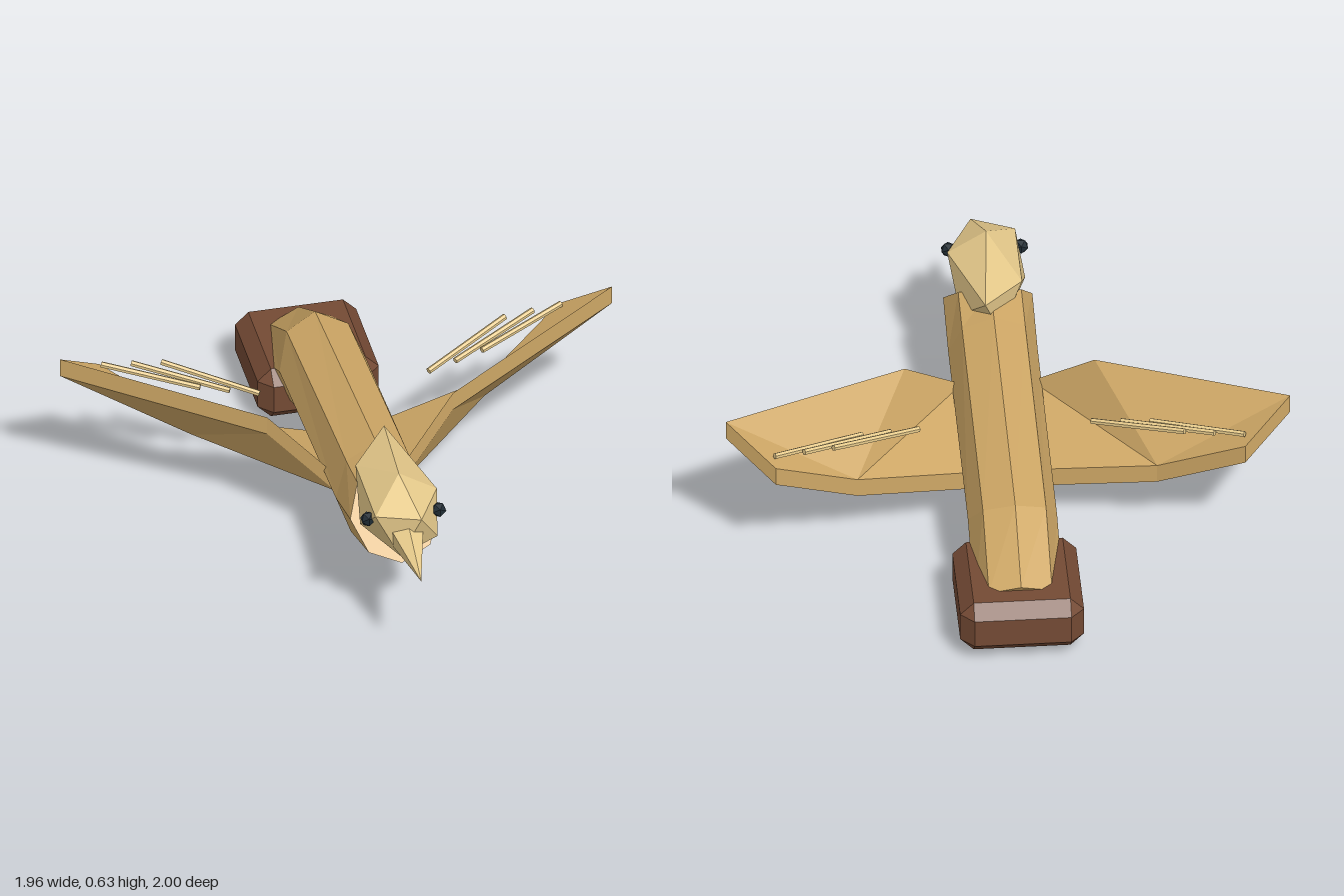
import * as THREE from 'three';
import { ConvexGeometry } from 'three/addons/geometries/ConvexGeometry.js';

const mat = (color) => new THREE.MeshStandardMaterial({ color, flatShading: true });
const tan = mat(0xcfa866);
const cream = mat(0xe6ca8b);
const brown = mat(0x744a34);
const dark = mat(0x1f2b33);
const V = (x, y, z) => new THREE.Vector3(x, y, z);

// Tapered rod or cone running from point a to point b
function rod(a, b, rA, rB, sides, material) {
  const dir = b.clone().sub(a);
  const mesh = new THREE.Mesh(new THREE.CylinderGeometry(rB, rA, dir.length(), sides), material);
  mesh.position.copy(a).lerp(b, 0.5);
  mesh.quaternion.setFromUnitVectors(V(0, 1, 0), dir.normalize());
  return mesh;
}

// Eight-sided body lofted through slanted rings: [bottom z, y, top z, y]
function bodyGeometry() {
  const rings = [
    [0.70, 0.285, 0.45, 0.53],
    [0.40, 0.167, 0.30, 0.52],
    [-0.40, 0.13, -0.65, 0.42],
    [-0.73, 0.003, -0.91, 0.26],
  ];
  const g = new THREE.CylinderGeometry(1, 1, 1, 8, 3).rotateX(Math.PI / 2);
  const p = g.attributes.position;
  for (let i = 0; i < p.count; i++) {
    const [bz, by, tz, ty] = rings[Math.round((0.5 - p.getZ(i)) * 3)];
    const t = (p.getY(i) + 1) / 2;
    p.setXYZ(i, p.getX(i) * 0.155, by + t * (ty - by), bz + t * (tz - bz));
  }
  g.computeVertexNormals();
  return g;
}

// Box with evenly chamfered edges and corners, from half sizes
function chamferedBox(hx, hy, hz, c) {
  const points = [];
  for (const x of [-1, 1]) for (const y of [-1, 1]) for (const z of [-1, 1]) {
    points.push(
      V(x * hx, y * (hy - c), z * (hz - c)),
      V(x * (hx - c), y * hy, z * (hz - c)),
      V(x * (hx - c), y * (hy - c), z * hz),
    );
  }
  return new ConvexGeometry(points);
}

// Bent slab wing: upper outline from the leading root, round the tip, to the trailing root
function wingGeometry(side) {
  const outline = [
    [0.12, 0.325, 0.185], [0.33, 0.505, 0.05], [0.98, 0.595, -0.325],
    [0.815, 0.47, -0.44], [0.52, 0.295, -0.295], [0.1, 0.235, -0.205],
  ];
  const n = outline.length;
  const corners = [0, 0.07].flatMap((drop) => outline.flatMap(([x, y, z]) => [side * x, y - drop, z]));
  const triangles = [];
  for (const [a, b, c] of [[0, 1, 4], [0, 4, 5], [1, 2, 4], [4, 2, 3]]) {
    triangles.push([a, b, c], [a + n, c + n, b + n]);
  }
  for (let i = 0; i < n; i++) {
    const j = (i + 1) % n;
    triangles.push([i + n, j + n, j], [i + n, j, i]);
  }
  const g = new THREE.BufferGeometry();
  g.setAttribute('position', new THREE.Float32BufferAttribute(corners, 3));
  g.setIndex(triangles.flatMap(([a, b, c]) => (side > 0 ? [a, b, c] : [a, c, b])));
  const flat = g.toNonIndexed();
  flat.computeVertexNormals();
  return flat;
}

export function createModel() {
  const model = new THREE.Group();
  const add = (name, mesh) => {
    mesh.name = name;
    model.add(mesh);
    return mesh;
  };

  add('body', new THREE.Mesh(bodyGeometry(), tan));

  // Chamfered tail block
  add('tail', new THREE.Mesh(chamferedBox(0.215, 0.1, 0.222, 0.047), brown))
    .position.set(0, 0.135, -0.778);

  // Faceted, slightly irregular head
  add('head', new THREE.Mesh(new ConvexGeometry([
    V(0, 0.63, 0.65),
    V(0.03, 0.58, 0.29), V(0.135, 0.545, 0.65), V(0.04, 0.55, 0.83),
    V(-0.11, 0.545, 0.77), V(-0.11, 0.55, 0.46),
    V(0.11, 0.43, 0.77), V(0.105, 0.42, 0.46), V(-0.03, 0.4, 0.38),
    V(-0.135, 0.43, 0.64), V(-0.03, 0.39, 0.8),
    V(0, 0.33, 0.65),
  ]), cream));

  // Beak halves
  add('upperBeak', rod(V(0, 0.46, 0.76), V(0, 0.413, 1), 0.07, 0, 6, cream));
  add('lowerBeak', rod(V(0, 0.41, 0.74), V(0, 0.405, 0.95), 0.03, 0, 6, tan));

  for (const side of [1, -1]) {
    const label = side > 0 ? 'left' : 'right';

    add(label + 'Eye', new THREE.Mesh(new THREE.IcosahedronGeometry(0.028), dark))
      .position.set(side * 0.126, 0.505, 0.72);

    add(label + 'Wing', new THREE.Mesh(wingGeometry(side), tan));

    // Three thin feather rods above each wing
    for (let i = 0; i < 3; i++) {
      const a = V(side * (0.3 + i * 0.1), 0.43 + i * 0.012, -0.2 - i * 0.024);
      const b = V(side * (0.61 + i * 0.103), 0.495, -0.37 - i * 0.016);
      add(label + 'Feather' + (i + 1), rod(a, b, 0.011, 0.011, 6, cream));
    }
  }
  return model;
}
